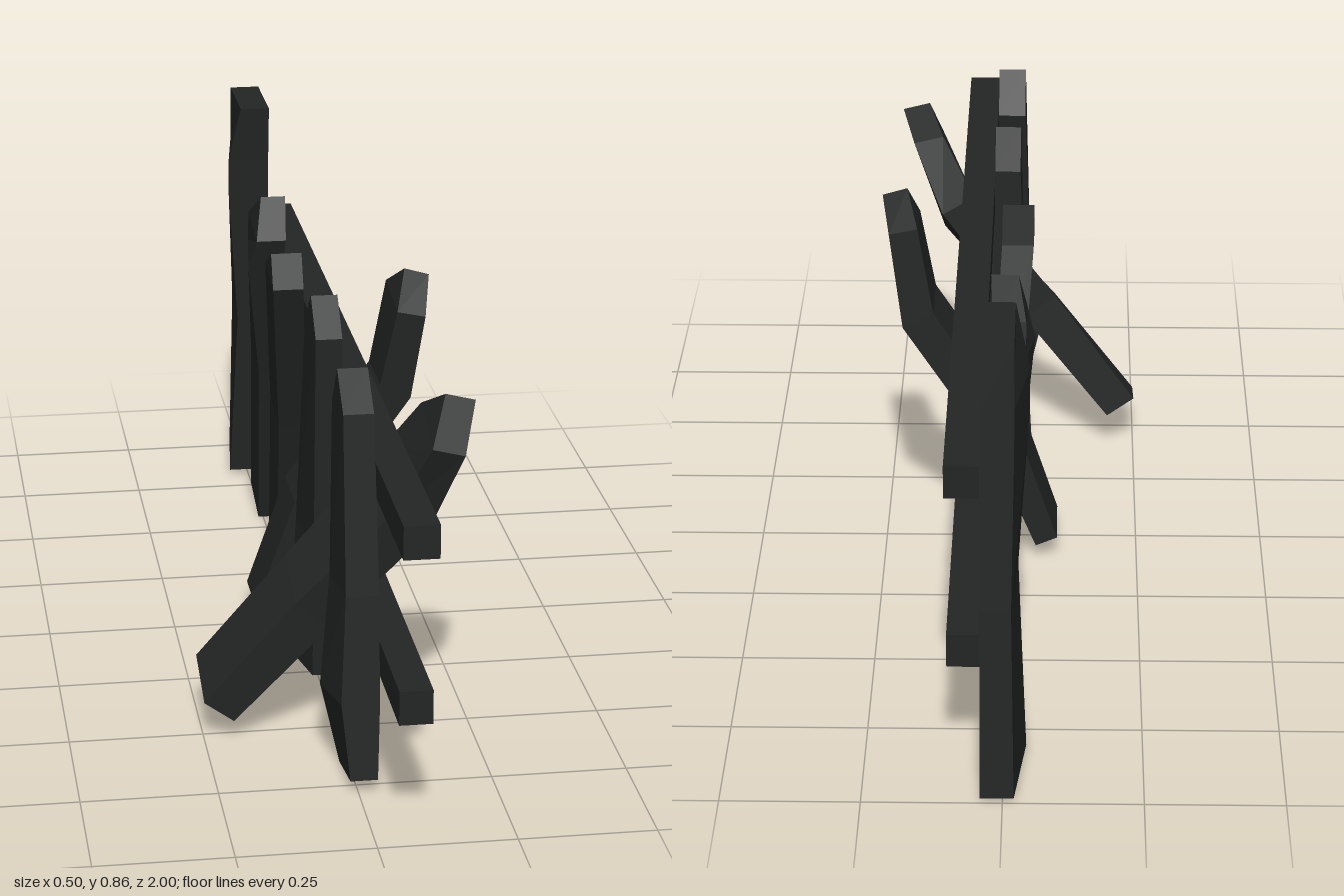
import * as THREE from 'three';

const wood = new THREE.MeshStandardMaterial({ color: 0x232625, flatShading: true, roughness: 0.9 });

// Lofts a board through four-cornered sections, bottom to top.
// Section: [zPlus, yPlus, zMinus, yMinus, xFace, xBackPlus, xBackMinus, backRise]
function board(name, sections) {
  const rings = sections.map(([zp, yp, zm, ym, xf, xbp, xbm = xbp, rise = 0]) => [
    [xf, yp, zp], [xf, ym, zm], [xbm, ym + rise, zm], [xbp, yp + rise, zp],
  ]);
  const pos = [];
  const quad = (a, b, c, d) => pos.push(...a, ...b, ...c, ...a, ...c, ...d);
  for (let i = 0; i < rings.length - 1; i++) {
    const lo = rings[i], hi = rings[i + 1];
    for (let k = 0; k < 4; k++) {
      const n = (k + 1) % 4;
      quad(lo[k], lo[n], hi[n], hi[k]);
    }
  }
  const first = rings[0], last = rings[rings.length - 1];
  quad(first[3], first[2], first[1], first[0]);
  quad(last[0], last[1], last[2], last[3]);
  const geo = new THREE.BufferGeometry();
  geo.setAttribute('position', new THREE.Float32BufferAttribute(pos, 3));
  geo.computeVertexNormals();
  const mesh = new THREE.Mesh(geo, wood);
  mesh.name = name;
  return mesh;
}

function rail(name, y, height, z0, z1, width) {
  const mesh = new THREE.Mesh(new THREE.BoxGeometry(width, height, z1 - z0), wood);
  mesh.position.set(0.04 + width / 2, y, (z0 + z1) / 2);
  mesh.name = name;
  return mesh;
}

export function createModel() {
  const fence = new THREE.Group();
  fence.name = 'brokenFence';

  // Two horizontal rails
  fence.add(rail('topRail', 0.582, 0.062, -0.88, 1.0, 0.064));
  fence.add(rail('bottomRail', 0.263, 0.064, -0.905, 0.975, 0.06));

  // Tall end post with a warped back edge
  fence.add(board('endPost', [
    [-0.82, 0.02, -1.0, 0.02, 0.04, -0.04, -0.02],
    [-0.79, 0.38, -0.97, 0.38, 0.04, -0.025, -0.015],
    [-0.77, 0.68, -0.945, 0.68, 0.04, -0.045, -0.02],
    [-0.765, 0.75, -0.94, 0.75, 0.04, -0.045, -0.02],
    [-0.75, 0.865, -0.93, 0.865, 0.04, -0.02, -0.02],
  ]));

  // Pickets still standing, each ending in a pointed ridge
  fence.add(board('frontPicket', [
    [0.785, 0.035, 0.65, 0.01, 0.035, -0.015],
    [0.77, 0.18, 0.64, 0.165, 0.04, -0.03, -0.05],
    [0.75, 0.38, 0.62, 0.37, 0.04, -0.02, -0.03],
    [0.71, 0.71, 0.575, 0.69, 0.035, -0.02],
    [0.635, 0.77, 0.635, 0.77, 0.035, -0.02],
  ]));
  fence.add(board('secondPicket', [
    [0.30, 0.025, 0.16, 0.025, 0.04, -0.015, -0.045],
    [0.315, 0.3, 0.175, 0.3, 0.04, -0.015, -0.03],
    [0.335, 0.72, 0.195, 0.72, 0.035, -0.015],
    [0.27, 0.785, 0.27, 0.785, 0.035, -0.015],
  ]));
  fence.add(board('leaningPicket', [
    [-0.255, 0.01, -0.385, 0.04, 0.04, -0.01],
    [-0.15, 0.37, -0.28, 0.39, 0.035, -0.02],
    [-0.04, 0.695, -0.16, 0.715, 0.015, -0.045],
    [-0.07, 0.76, -0.07, 0.76, 0.015, -0.045],
  ]));
  fence.add(board('rearPicket', [
    [-0.56, 0.01, -0.69, 0.04, 0.04, -0.01],
    [-0.465, 0.37, -0.595, 0.39, 0.04, -0.02],
    [-0.39, 0.63, -0.52, 0.65, 0.02, -0.05, -0.035],
    [-0.372, 0.69, -0.505, 0.715, 0.025, -0.035],
    [-0.42, 0.77, -0.42, 0.77, 0.03, -0.02],
  ]));

  // Broken pickets bent through the fence
  fence.add(board('bentPicket', [
    [0.035, 0.04, -0.10, 0.04, -0.05, -0.092, -0.092, 0.018],
    [0.05, 0.25, -0.09, 0.25, 0.04, -0.015, -0.015, 0.035],
    [0.07, 0.50, -0.07, 0.50, 0.21, 0.15, 0.15, 0.03],
    [0.085, 0.67, -0.055, 0.69, 0.235, 0.18, 0.18, 0.012],
    [0.03, 0.738, 0.03, 0.738, 0.25, 0.202, 0.202, 0.014],
  ]));
  fence.add(board('fallenPicket', [
    [0.53, 0.047, 0.395, 0.085, -0.195, -0.25, -0.25, 0.04],
    [0.56, 0.24, 0.44, 0.29, -0.02, -0.085, -0.085, 0.05],
    [0.60, 0.43, 0.47, 0.51, 0.15, 0.085, 0.085, 0.04],
    [0.655, 0.60, 0.53, 0.645, 0.21, 0.15, 0.15, 0.015],
    [0.61, 0.69, 0.61, 0.69, 0.235, 0.18, 0.18, 0.014],
  ]));
  return fence;
}
